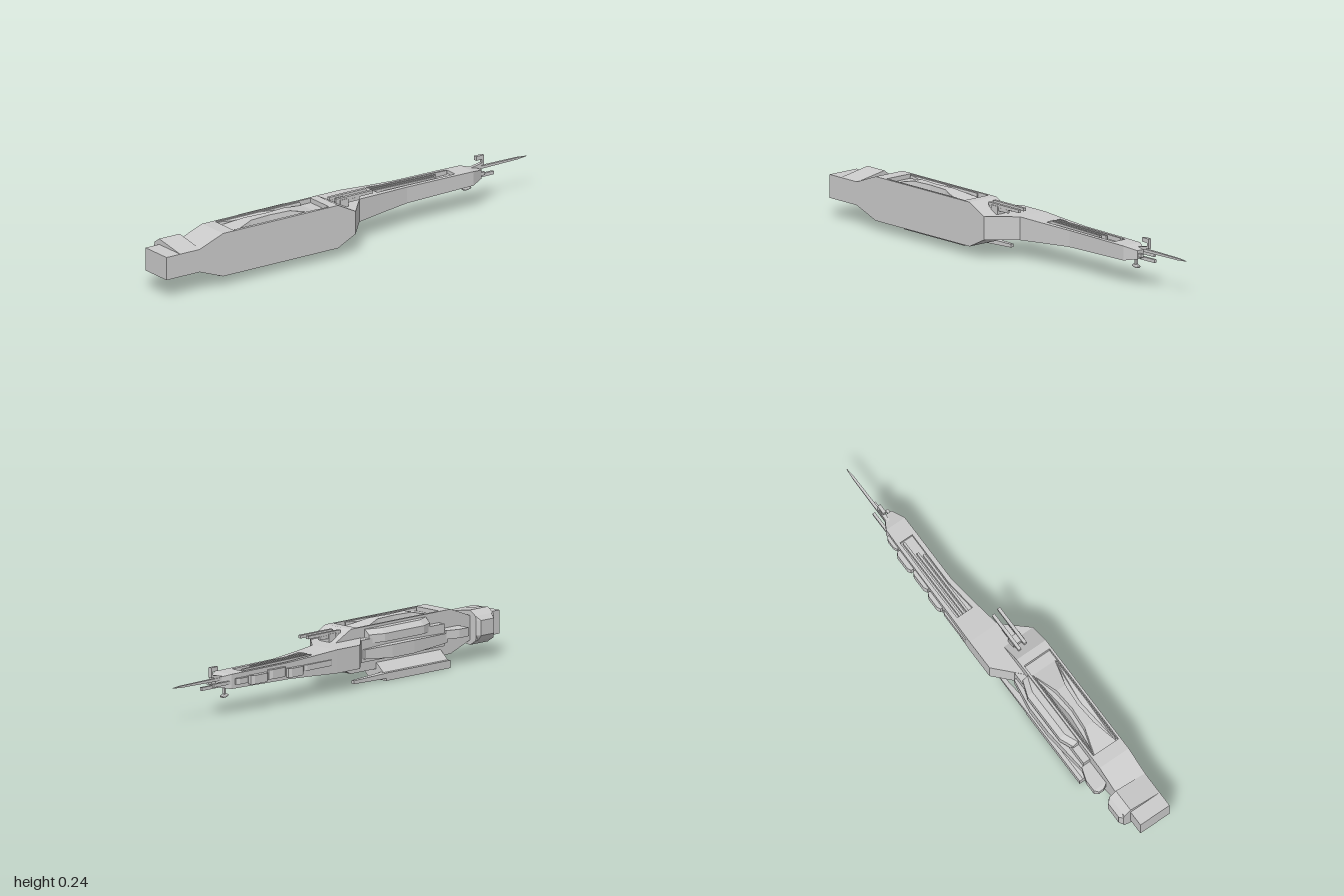
import * as THREE from 'three';

const mat = new THREE.MeshStandardMaterial({ color: 0xcccccc, flatShading: true });

export function createModel() {
  const root = new THREE.Group();
  const add = (name, geo) => {
    const m = new THREE.Mesh(geo, mat);
    m.name = name;
    root.add(m);
    return m;
  };
  const extrude = (pts, depth) => new THREE.ExtrudeGeometry(
    new THREE.Shape(pts.map(p => new THREE.Vector2(p[0], p[1]))), { depth, bevelEnabled: false });
  // Outline [z, y] swept across x
  const side = (name, pts, x0, x1) =>
    add(name, extrude(pts.map(([z, y]) => [-z, y]), x1 - x0).rotateY(Math.PI / 2).translate(x0, 0, 0));
  // Outline [x, z] swept up y
  const plan = (name, pts, y0, y1) =>
    add(name, extrude(pts.map(([x, z]) => [x, -z]), y1 - y0).rotateX(-Math.PI / 2).translate(0, y0, 0));
  // Outline [x, y] swept along z
  const front = (name, pts, z0, z1) => add(name, extrude(pts, z1 - z0).translate(0, 0, z0));
  const box = (name, x0, x1, y0, y1, z0, z1) =>
    add(name, new THREE.BoxGeometry(x1 - x0, y1 - y0, z1 - z0)
      .translate((x0 + x1) / 2, (y0 + y1) / 2, (z0 + z1) / 2));
  // Skin over matching rings of [x, y, z], ordered front to back
  const loft = (name, rings) => {
    const v = [], n = rings[0].length;
    const tri = (...p) => p.forEach(q => v.push(...q));
    for (let i = 0; i < rings.length - 1; i++) {
      const a = rings[i], b = rings[i + 1];
      for (let j = 0; j < n; j++) {
        const k = (j + 1) % n;
        tri(a[j], b[j], a[k]);
        tri(b[j], b[k], a[k]);
      }
    }
    const f = rings[0], e = rings[rings.length - 1];
    for (let j = 1; j < n - 1; j++) {
      tri(f[0], f[j], f[j + 1]);
      tri(e[0], e[j + 1], e[j]);
    }
    const g = new THREE.BufferGeometry();
    g.setAttribute('position', new THREE.Float32BufferAttribute(v, 3));
    g.computeVertexNormals();
    return add(name, g);
  };
  const rect = (z, x0, x1, y0, y1) => [[x0, y0, z], [x1, y0, z], [x1, y1, z], [x0, y1, z]];

  // Main hull: two full-height walls with a notched middle that leaves the deck pit
  const lower = [[0.03, 0.087], [0.12, 0.043], [0.71, 0.043], [0.83, 0.087], [1, 0.087], [1, 0.187], [0.83, 0.187], [0.71, 0.232]];
  const upper = [[0.12, 0.232], [0.03, 0.187]];
  const pit = [[0.65, 0.232], [0.65, 0.212], [0.16, 0.212], [0.16, 0.232]];
  side('hullOuterWall', [...lower, ...upper], -0.018, -0.008);
  side('hullCore', [...lower, ...pit, ...upper], -0.008, 0.121);
  side('hullInnerWall', [...lower, ...upper], 0.121, 0.131);

  // Ridge standing in the deck pit, pinched at the middle
  loft('deckRidge', [[0.65, 0, 0.113, 0.213], [0.53, 0.035, 0.08, 0.238], [0.43, 0.043, 0.072, 0.238],
    [0.33, 0.035, 0.08, 0.238], [0.21, 0, 0.113, 0.213]].map(([z, a, b, y]) =>
    [[a - 0.004, 0.21, z], [b + 0.004, 0.21, z], [b, y, z], [a, y, z]]));
  for (const s of [-1, 1]) {
    const x = 0.0565 + s * 0.058;
    loft('pitSlope', [[0.64, 0.005], [0.43, 0.025], [0.22, 0.005]].map(([z, w]) => {
      const a = x, b = x - s * w;
      return [[Math.min(a, b), 0.21, z], [Math.max(a, b), 0.21, z], [a + 0.002, 0.23, z], [a - 0.002, 0.23, z]];
    }));
  }

  // Collar around the nose
  const collar = (z, inset) => [[0.13, 0.087], [0.13, 0.187], [-0.018, 0.212], [-0.05, 0.19], [-0.068 + inset, 0.172],
    [-0.068 + inset, 0.108], [-0.05, 0.085], [-0.018, 0.064]].map(([x, y]) => [x, y, z]);
  loft('noseCollar', [collar(0.93, 0.014), collar(0.915, 0), collar(0.84, 0), collar(0.825, 0.014)]);

  // Pods along the outer side
  plan('upperSidePod', [[-0.015, 0.56], [-0.045, 0.56], [-0.07, 0.5], [-0.07, 0.27], [-0.045, 0.2], [-0.015, 0.2]], 0.165, 0.2);
  loft('upperPodRoof', [[0.56, -0.045], [0.5, -0.07], [0.27, -0.07], [0.2, -0.045]].map(([z, x]) =>
    [[x, 0.2, z], [-0.015, 0.2, z], [-0.015, 0.221, z], [x + 0.024, 0.221, z]]));
  loft('lowerSidePod', [rect(0.65, -0.06, -0.01, 0.105, 0.145), rect(0.43, -0.082, -0.01, 0.095, 0.15),
    rect(0.3, -0.082, -0.01, 0.095, 0.15), rect(0.16, -0.06, -0.01, 0.105, 0.145)]);
  box('sideStrake', -0.05, -0.01, 0.09, 0.185, 0.15, 0.64);
  loft('forwardSidePod', [rect(0.77, -0.065, -0.04, 0.125, 0.15), rect(0.755, -0.08, -0.015, 0.12, 0.157),
    rect(0.7, -0.08, -0.015, 0.12, 0.157), rect(0.64, -0.06, -0.015, 0.12, 0.157)]);

  // Wing slung below the hull, with a trailing boom
  front('lowerWing', [[-0.077, 0], [0.025, 0], [0.07, 0.045], [0.07, 0.06], [-0.018, 0.07], [-0.06, 0.033], [-0.077, 0.033]], 0.27, 0.65);
  loft('wingBoom', [rect(0.27, -0.077, -0.045, 0.01, 0.033), rect(0.08, -0.077, -0.062, 0.014, 0.028)]);

  // Neck stepping outward to the tail
  plan('neck', [[0.131, 0.18], [0.131, 0.03], [0.02, -0.07], [-0.121, -0.07], [-0.121, 0.07], [-0.018, 0.18]], 0.087, 0.187);

  // Tail with a long channel sunk in its top
  const tail = (z, x0, x1, y0, y1, d = 0) => {
    const a = x0 + (x1 - x0) * 0.16, b = x1 - (x1 - x0) * 0.2;
    return [[x0, y0], [x1, y0], [x1, y1], [b, y1], [b, y1 - d], [a, y1 - d], [a, y1], [x0, y1]].map(([x, y]) => [x, y, z]);
  };
  loft('tailHull', [
    tail(-0.07, -0.121, 0.02, 0.087, 0.187),
    tail(-0.19, -0.118, 0.003, 0.094, 0.18), tail(-0.19, -0.118, 0.003, 0.094, 0.18, 0.014),
    tail(-0.34, -0.115, -0.016, 0.102, 0.173, 0.014),
    tail(-0.6, -0.112, -0.015, 0.107, 0.171, 0.014), tail(-0.6, -0.112, -0.015, 0.107, 0.171),
    tail(-0.68, -0.11, -0.015, 0.108, 0.17), tail(-0.74, -0.075, -0.04, 0.12, 0.157)]);
  [[-0.084, -0.59], [-0.064, -0.52], [-0.047, -0.5]].forEach(([x, z]) =>
    loft('channelRod', [rect(-0.19, x - 0.005, x + 0.005, 0.163, 0.182), rect(z, x - 0.005, x + 0.005, 0.155, 0.176)]));

  // Fittings on the outer flank of the tail
  [[-0.09, -0.26, -0.126, 0.125, 0.15], [-0.27, -0.36, -0.134, 0.112, 0.15], [-0.37, -0.47, -0.13, 0.12, 0.16],
    [-0.48, -0.58, -0.134, 0.115, 0.152], [-0.59, -0.66, -0.126, 0.125, 0.15]].forEach(([z1, z0, x, y0, y1]) =>
    loft('flankFitting', [rect(z1, x + 0.008, -0.1, y0, y1), rect(z1 - 0.015, x, -0.1, y0, y1),
      rect(z0 + 0.015, x, -0.1, y0, y1), rect(z0, x + 0.008, -0.1, y0, y1)]));

  // Twin rods over the rear slope, on a bracket
  [[0.02, 0.09, -0.1], [0.055, 0.08, -0.11]].forEach(([x, z1, z0]) => {
    box('dorsalRod', x - 0.007, x + 0.007, 0.217, 0.23, z0, z1);
    box('dorsalRodLower', x - 0.005, x + 0.005, 0.202, 0.216, z0 + 0.07, z1);
  });
  box('dorsalBracket', 0.01, 0.065, 0.187, 0.222, 0.02, 0.06);

  // Tail spike, prongs, hooked mast and hanging bulb
  loft('tailSpike', [rect(-0.68, -0.089, -0.075, 0.146, 0.16), rect(-0.95, -0.087, -0.077, 0.149, 0.157), rect(-1, -0.083, -0.081, 0.152, 0.154)]);
  [[-0.102, -0.78, 0.128], [-0.07, -0.82, 0.115], [-0.05, -0.76, 0.13]].forEach(([x, z, y]) =>
    box('tailProng', x - 0.006, x + 0.006, y, y + 0.014, z, -0.66));
  side('hookedMast', [[-0.68, 0.158], [-0.765, 0.175], [-0.765, 0.19], [-0.735, 0.19], [-0.735, 0.208],
    [-0.775, 0.208], [-0.775, 0.165], [-0.68, 0.145]], -0.086, -0.071);
  box('bulbStem', -0.083, -0.073, 0.08, 0.12, -0.695, -0.685);
  add('bulb', new THREE.SphereGeometry(1, 10, 6).scale(0.008, 0.009, 0.025).translate(-0.078, 0.077, -0.69));

  return root;
}
